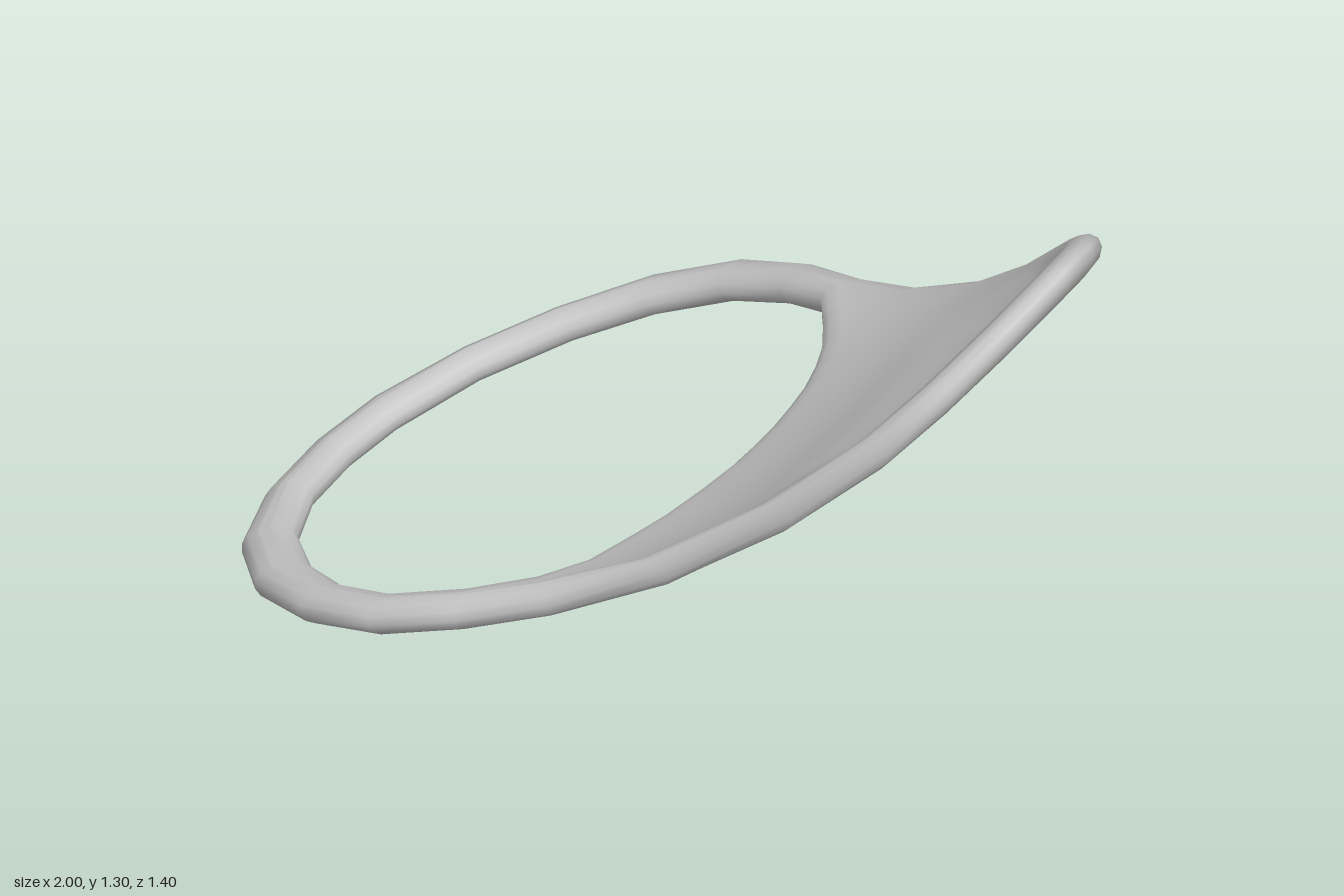
import * as THREE from 'three';

// Matched outline points seen from above: outer x, outer z, hole x, hole z
const OUTLINE = [
  [-0.99, -0.09, -0.89, -0.08], [-0.95, -0.29, -0.87, -0.22], [-0.84, -0.48, -0.78, -0.41],
  [-0.69, -0.61, -0.63, -0.54], [-0.49, -0.70, -0.48, -0.60], [-0.27, -0.705, -0.30, -0.605],
  [-0.08, -0.64, -0.12, -0.55], [0.10, -0.55, 0.02, -0.48], [0.30, -0.46, 0.07, -0.40],
  [0.52, -0.365, 0.12, -0.31], [0.70, -0.27, 0.155, -0.22], [0.84, -0.19, 0.18, -0.13],
  [0.93, -0.07, 0.19, -0.05], [0.985, 0.06, 0.195, 0.03], [1.0, 0.20, 0.19, 0.10],
  [0.96, 0.35, 0.18, 0.17], [0.88, 0.47, 0.15, 0.26], [0.77, 0.55, 0.11, 0.35],
  [0.55, 0.58, 0.06, 0.42], [0.27, 0.61, 0.01, 0.49], [0.00, 0.645, -0.06, 0.555],
  [-0.20, 0.69, -0.20, 0.59], [-0.40, 0.70, -0.38, 0.60], [-0.60, 0.64, -0.54, 0.55],
  [-0.78, 0.52, -0.68, 0.45], [-0.91, 0.35, -0.81, 0.29], [-0.98, 0.13, -0.88, 0.10],
];

// Middle surface: a tilted ring plane that curls upward toward the tip
function height(x, z) {
  const twist = x < 0 ? -0.1 * (x + 1) : -0.1 + 0.06 * Math.min(1, x / 0.55);
  return 0.45 + 0.43 * x + 0.43 * Math.max(0, x) ** 2.3 + twist * z;
}

function normalAt(x, z) {
  const e = 0.03;
  return new THREE.Vector3(
    (height(x - e, z) - height(x + e, z)) / (2 * e), 1,
    (height(x, z - e) - height(x, z + e)) / (2 * e)).normalize();
}

// Shallow oval dish in the upper face, flush on the side nearest the hole
function dishDepth(x, z) {
  const r = Math.hypot((x - 0.7) / 0.23, (z - 0.16) / 0.34);
  const fade = THREE.MathUtils.smoothstep(x, 0.5, 0.75);
  return 0.03 * fade * (1 - THREE.MathUtils.smoothstep(r, 0.88, 1.02));
}

// Closed cross-section from the outer rim to the hole and back underneath
function crossSection([ox, oz, ix, iz]) {
  const width = Math.hypot(ix - ox, iz - oz);
  const edge = Math.min(0.045, width * 0.49);
  const innerHalf = Math.max(0.018, 0.038 - 0.1 * Math.max(0, width - 0.1));
  const steps = [];
  for (let a = 0; a <= 3; a++) {
    const t = a * Math.PI / 6;
    steps.push([edge * (1 - Math.cos(t)), Math.sin(t)]);
  }
  for (let k = 1; k < 22; k++) steps.push([edge + (width - 2 * edge) * k / 22, 1]);
  for (let a = 3; a >= 0; a--) {
    const t = a * Math.PI / 6;
    steps.push([width - edge * (1 - Math.cos(t)), Math.sin(t)]);
  }
  const place = ([d, round], side) => {
    const s = d / width;
    const x = ox + (ix - ox) * s, z = oz + (iz - oz) * s;
    let lift = side * round * (0.038 + (innerHalf - 0.038) * s);
    if (side > 0) lift -= dishDepth(x, z);
    return new THREE.Vector3(x, height(x, z), z).addScaledVector(normalAt(x, z), lift);
  };
  const top = steps.map((p) => place(p, 1));
  const bottom = steps.slice(1, -1).reverse().map((p) => place(p, -1));
  return [...top, ...bottom];
}

// Skin a closed loop of closed cross-sections
function loftLoop(sections) {
  const n = sections.length, m = sections[0].length, index = [];
  for (let i = 0; i < n; i++) {
    for (let j = 0; j < m; j++) {
      const i2 = (i + 1) % n, j2 = (j + 1) % m;
      const a = i * m + j, b = i * m + j2, c = i2 * m + j, d = i2 * m + j2;
      index.push(a, b, c, b, d, c);
    }
  }
  const geometry = new THREE.BufferGeometry().setFromPoints(sections.flat());
  geometry.setIndex(index);
  geometry.computeVertexNormals();
  return geometry;
}

export function createModel() {
  const group = new THREE.Group();
  group.name = 'ringWithCurvedPlate';
  const body = new THREE.Mesh(
    loftLoop(OUTLINE.map(crossSection)),
    new THREE.MeshStandardMaterial({ color: 0xcccccc }));
  body.name = 'ringAndPlate';
  group.add(body);
  return group;
}
